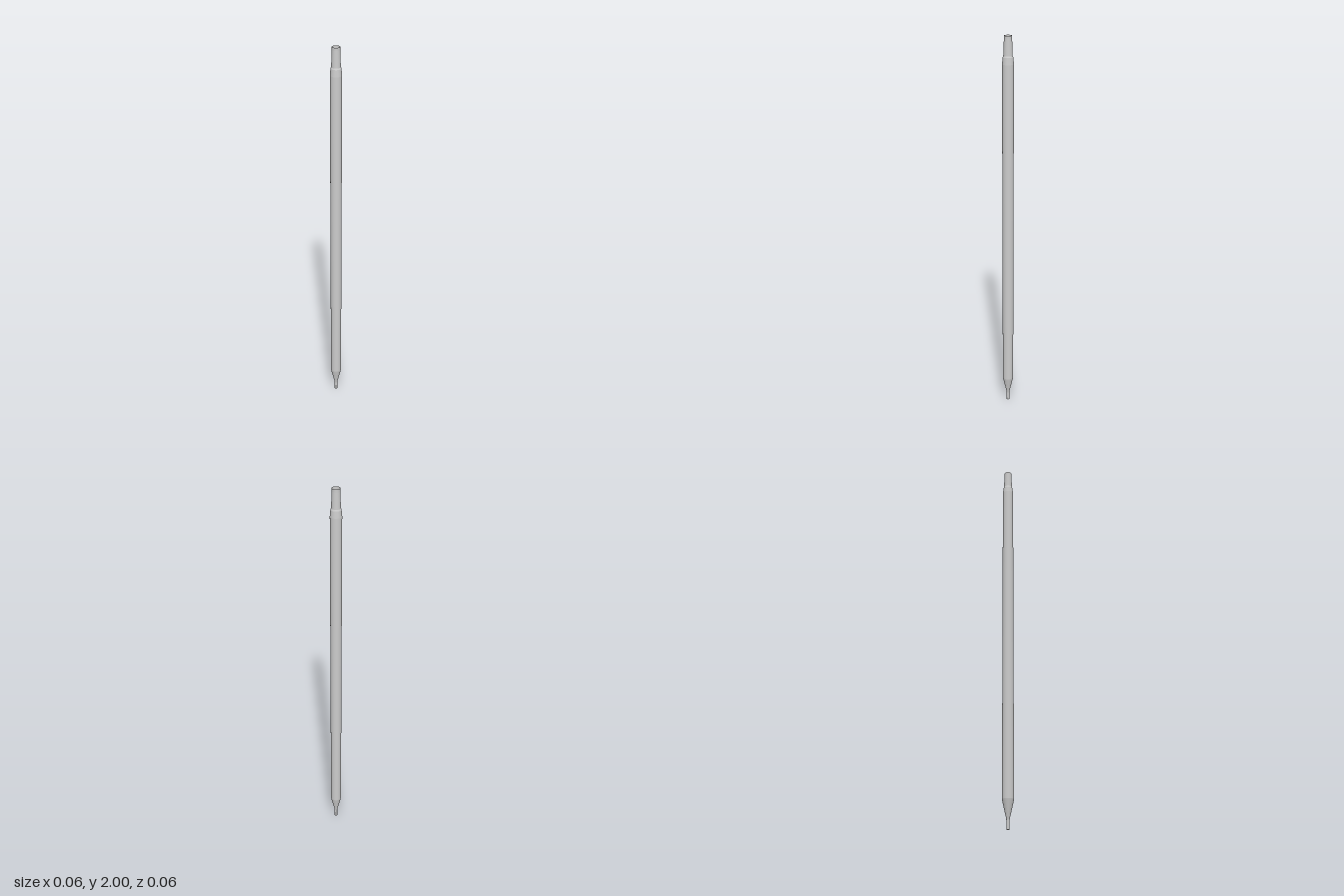
import * as THREE from 'three';

const SIDES = 48;

// Each part is a thin, open shell of revolution; [radius, height] from bottom to top.
const PARTS = {
  tip: [[0.0075, 0], [0.008, 0.045]],
  taper: [[0.008, 0.045], [0.0105, 0.06], [0.0265, 0.13], [0.0285, 0.142]],
  barrel: [[0.0285, 0.142], [0.0285, 1.865]],
  shoulder: [[0.0285, 1.865], [0.0255, 1.898]],
  ledge: [[0.0255, 1.898], [0.0225, 1.905]],
  mouthpiece: [[0.0225, 1.905], [0.0195, 1.985]],
  rim: [[0.0195, 1.985], [0.0195, 2]],
};

export function createModel() {
  const group = new THREE.Group();
  group.name = 'pipette';
  const material = new THREE.MeshStandardMaterial({ color: 0xcccccc, side: THREE.DoubleSide });
  for (const [name, profile] of Object.entries(PARTS)) {
    const points = profile.map(([r, y]) => new THREE.Vector2(r, y));
    const mesh = new THREE.Mesh(new THREE.LatheGeometry(points, SIDES), material);
    mesh.name = name;
    group.add(mesh);
  }
  return group;
}
